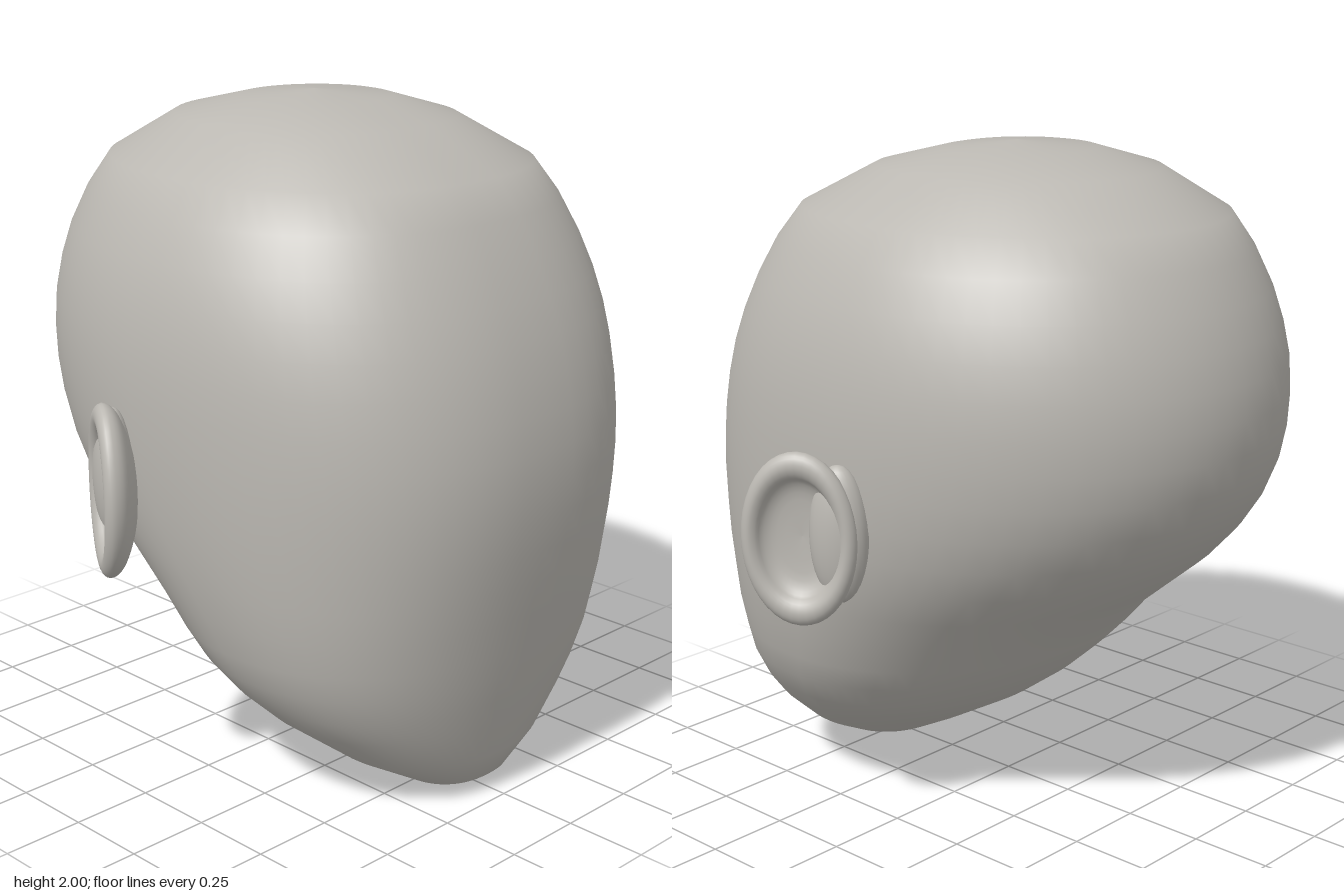
import * as THREE from 'three';

const skin = new THREE.MeshStandardMaterial({ color: 0xbbb8b2 });
skin.name = 'warm grey';

// Head cross-sections, chin to crown: [y, half width, front z, back z]
const SECTIONS = [
  [0.00, 0.00, 0.58, 0.58],
  [0.04, 0.18, 0.685, 0.36],
  [0.13, 0.34, 0.725, 0.19],
  [0.25, 0.49, 0.755, -0.02],
  [0.33, 0.565, 0.775, -0.13],
  [0.42, 0.625, 0.795, -0.23],
  [0.50, 0.655, 0.81, -0.31],
  [0.60, 0.685, 0.83, -0.40],
  [0.70, 0.707, 0.848, -0.52],
  [0.80, 0.727, 0.865, -0.64],
  [0.90, 0.74, 0.877, -0.735],
  [1.00, 0.75, 0.883, -0.805],
  [1.10, 0.755, 0.88, -0.85],
  [1.20, 0.757, 0.868, -0.873],
  [1.30, 0.754, 0.848, -0.88],
  [1.40, 0.744, 0.82, -0.873],
  [1.50, 0.724, 0.782, -0.85],
  [1.60, 0.693, 0.735, -0.815],
  [1.71, 0.642, 0.674, -0.76],
  [1.81, 0.575, 0.60, -0.69],
  [1.93, 0.39, 0.37, -0.48],
  [1.98, 0.23, 0.17, -0.27],
  [2.00, 0.00, -0.04, -0.04],
];

// Horizontal rings: round at the back, squarer across the face
function headGeometry() {
  const n = 64, pos = [], idx = [];
  SECTIONS.forEach(([y, w, front, back], i) => {
    const mid = (front + back) / 2, depth = (front - back) / 2;
    for (let j = 0; j < n; j++) {
      const a = (j / n) * Math.PI * 2, c = Math.cos(a), s = Math.sin(a);
      const e = s > 0 ? 2 / 2.35 : 1;
      pos.push(
        w * Math.sign(c) * Math.abs(c) ** e, y,
        mid + depth * Math.sign(s) * Math.abs(s) ** e);
      if (i === SECTIONS.length - 1) continue;
      const k = (j + 1) % n, p = i * n, q = p + n;
      if (i < SECTIONS.length - 2) idx.push(p + j, q + j, q + k);
      if (i > 0) idx.push(p + j, q + k, p + k);
    }
  });
  const g = new THREE.BufferGeometry();
  g.setAttribute('position', new THREE.Float32BufferAttribute(pos, 3));
  g.setIndex(idx);
  g.computeVertexNormals();
  return g;
}

// Oval cup with a rolled rim, opening outward and turned backward
function earGeometry(side) {
  const profile = new THREE.SplineCurve([
    [0.02, -0.085], [0.08, -0.075], [0.125, -0.055], [0.157, -0.03], [0.168, 0],
    [0.158, 0.02], [0.14, 0.026], [0.122, 0.015], [0.108, -0.008],
    [0.075, -0.025], [0, -0.032],
  ].map(([r, h]) => new THREE.Vector2(r, h))).getPoints(32);
  profile.forEach(p => { p.x = Math.max(0, p.x); });
  const g = new THREE.LatheGeometry(profile, 40);
  g.rotateZ(-side * Math.PI / 2);
  g.scale(1, 1.5, 1);
  g.rotateY(side * Math.PI / 6);
  return g;
}

export function createModel() {
  const model = new THREE.Group();
  model.name = 'head';

  const add = (name, geometry, x, y, z) => {
    const mesh = new THREE.Mesh(geometry, skin);
    mesh.name = name;
    mesh.position.set(x, y, z);
    model.add(mesh);
  };

  add('skull', headGeometry(), 0, 0, 0);

  for (const side of [1, -1]) {
    const label = side > 0 ? 'left' : 'right';
    add(label + 'Ear', earGeometry(side), side * 0.858, 0.975, 0);
    // Root joining the ear to the side of the head
    const root = new THREE.SphereGeometry(1, 24, 16);
    root.scale(0.06, 0.2, 0.085);
    root.rotateY(side * Math.PI / 6);
    add(label + 'EarRoot', root, side * 0.772, 0.985, -0.07);
  }
  return model;
}
